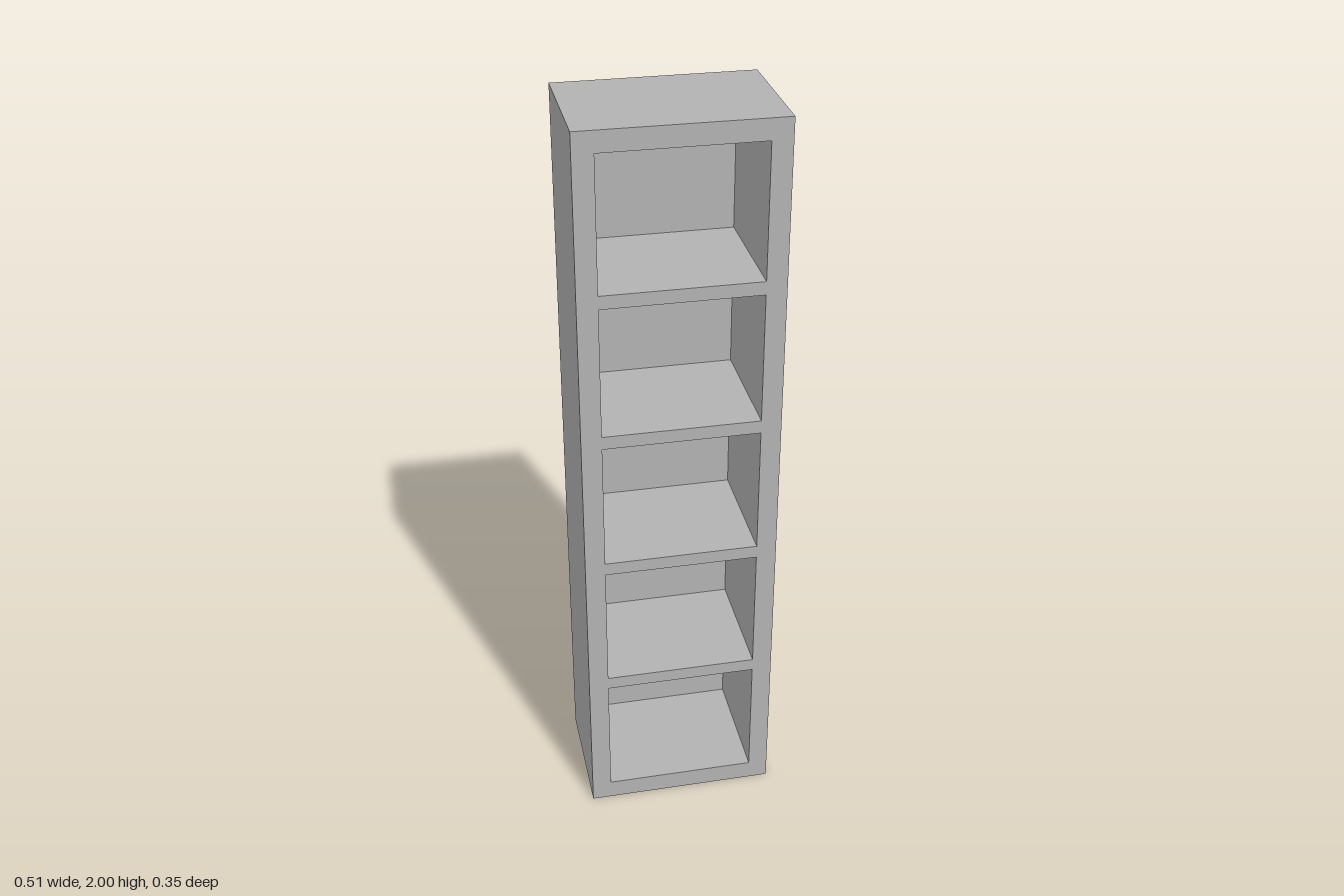
import * as THREE from 'three';

const WIDTH = 0.514, HEIGHT = 2, DEPTH = 0.348;
const BACK = 0.013; // back panel thickness
const BAYS = 5, BAY_WIDTH = 0.408, BAY_HEIGHT = 0.35, PITCH = 0.3855;

// Adds a counter-clockwise rectangle to a shape or path
function rectangle(path, x, y, w, h) {
  path.moveTo(x, y);
  path.lineTo(x + w, y);
  path.lineTo(x + w, y + h);
  path.lineTo(x, y + h);
  path.closePath();
  return path;
}

export function createModel() {
  const group = new THREE.Group();
  group.name = 'shelfUnit';

  const grey = new THREE.MeshStandardMaterial({ color: 0xb2b2b2 });
  grey.name = 'grey';

  // Sides, top, base and shelves: one slab pierced by the open bays
  const outline = rectangle(new THREE.Shape(), -WIDTH / 2, 0, WIDTH, HEIGHT);
  const firstBay = (HEIGHT - (BAYS - 1) * PITCH - BAY_HEIGHT) / 2;
  for (let i = 0; i < BAYS; i++) {
    outline.holes.push(
      rectangle(new THREE.Path(), -BAY_WIDTH / 2, firstBay + i * PITCH, BAY_WIDTH, BAY_HEIGHT)
    );
  }
  const frame = new THREE.Mesh(
    new THREE.ExtrudeGeometry(outline, { depth: DEPTH - BACK, bevelEnabled: false }),
    grey
  );
  frame.name = 'shelfFrame';
  frame.position.z = -DEPTH / 2 + BACK;
  group.add(frame);

  // Thin panel closing the back
  const back = new THREE.Mesh(new THREE.BoxGeometry(WIDTH, HEIGHT, BACK), grey);
  back.name = 'backPanel';
  back.position.set(0, HEIGHT / 2, -DEPTH / 2 + BACK / 2);
  group.add(back);

  return group;
}
